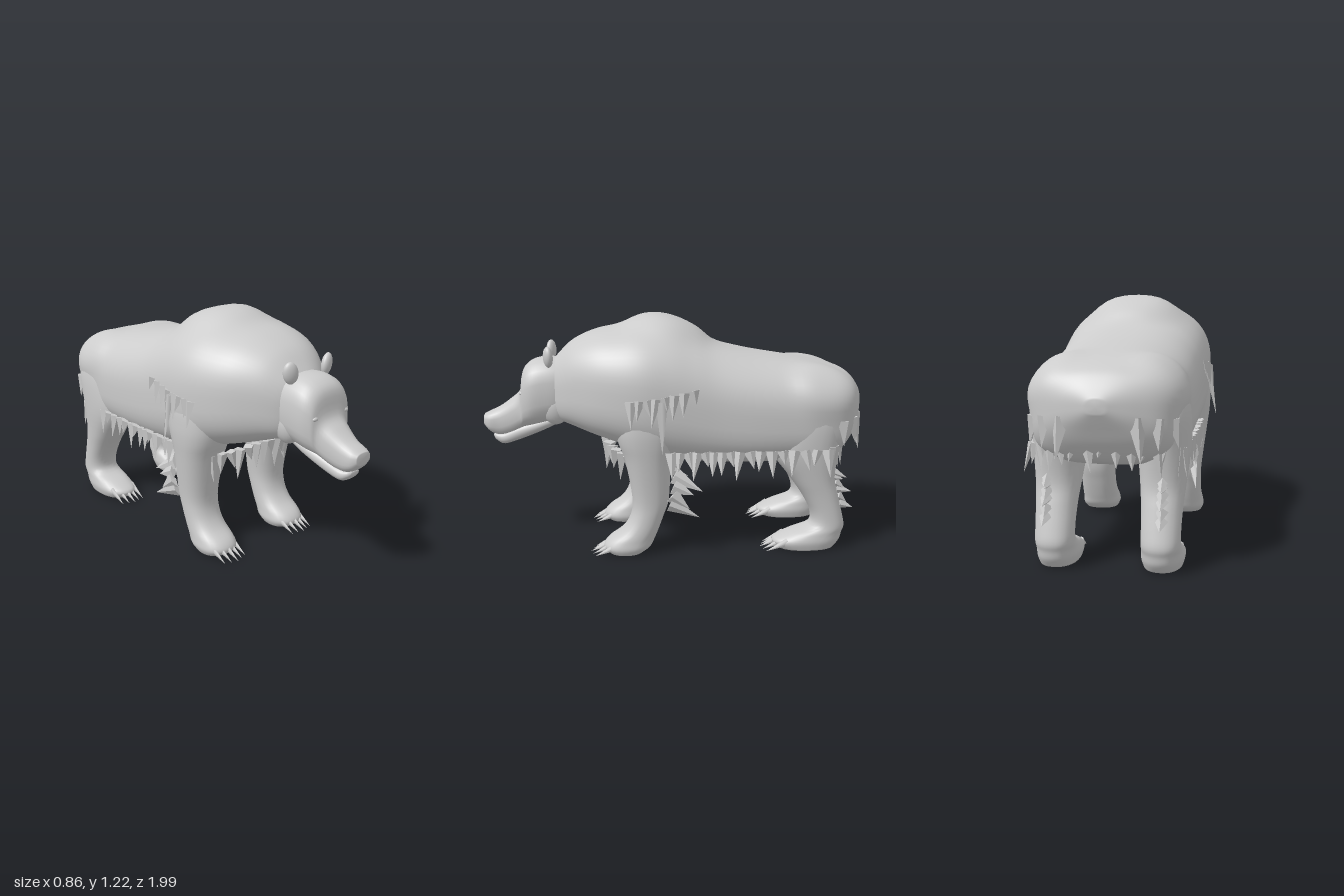
import * as THREE from 'three';
import { mergeGeometries } from 'three/addons/utils/BufferGeometryUtils.js';

const fur = new THREE.MeshStandardMaterial({ color: 0xcccccc });
fur.name = 'pale grey fur';
const V = (x, y, z) => new THREE.Vector3(x, y, z);

// Smooth closed skin through rows of [position, low, high, halfWidth].
// Upright rows run from the top down along y, otherwise rows run back to front along z.
// A higher power gives a boxier section; lowPower applies to its lower half.
function loft(rows, { upright = false, cx = 0, power = 2.3, lowPower = power, sides = 28, sub = 4 } = {}) {
  const a = new THREE.SplineCurve(rows.map(r => new THREE.Vector2(r[0], r[3])));
  const b = new THREE.SplineCurve(rows.map(r => new THREE.Vector2(r[1], r[2])));
  const n = (rows.length - 1) * sub, pos = [], idx = [];
  const put = (x, d, t) => upright ? pos.push(cx + x, t, d) : pos.push(cx + x, d, t);
  const round = (v, p) => Math.sign(v) * Math.abs(v) ** (2 / p);
  for (let i = 0; i <= n; i++) {
    const p = a.getPoint(i / n), q = b.getPoint(i / n);
    for (let j = 0; j < sides; j++) {
      const t = j / sides * Math.PI * 2, e = j * 2 > sides ? lowPower : power;
      put(p.y * round(Math.cos(t), e), (q.x + q.y) / 2 + (q.y - q.x) / 2 * round(Math.sin(t), e), p.x);
    }
  }
  for (let i = 0; i < n; i++) for (let j = 0; j < sides; j++) {
    const k = (j + 1) % sides, s = i * sides, e = s + sides;
    idx.push(s + j, s + k, e + k, s + j, e + k, e + j);
  }
  // end caps
  const first = rows[0], last = rows[rows.length - 1], c = (n + 1) * sides;
  put(0, (first[1] + first[2]) / 2, first[0]);
  put(0, (last[1] + last[2]) / 2, last[0]);
  for (let j = 0; j < sides; j++) {
    const k = (j + 1) % sides;
    idx.push(c, k, j, c + 1, n * sides + j, n * sides + k);
  }
  const g = new THREE.BufferGeometry();
  g.setAttribute('position', new THREE.Float32BufferAttribute(pos, 3));
  g.setIndex(idx);
  g.computeVertexNormals();
  return g;
}

// Raise soft lumps on a skin; each bump is [centre, radius, height]
function swell(g, bumps) {
  const p = g.attributes.position, nor = g.attributes.normal, v = V(0, 0, 0), d = V(0, 0, 0);
  for (let i = 0; i < p.count; i++) {
    v.fromBufferAttribute(p, i);
    d.fromBufferAttribute(nor, i);
    const rise = bumps.reduce((h, [c, r, top]) => h + top * Math.exp(-((v.distanceTo(c) / r) ** 4)), 0);
    v.addScaledVector(d, rise);
    p.setXYZ(i, v.x, v.y, v.z);
  }
  g.computeVertexNormals();
  return g;
}

function ball(x, y, z, rx, ry, rz) {
  return new THREE.SphereGeometry(1, 24, 16).scale(rx, ry, rz).translate(x, y, z);
}

// Pointed lock from its root to its tip; wide runs along the hem, thick across it
function spike(root, tip, along, wide, thick, sides = 4) {
  const up = tip.clone().sub(root), len = up.length();
  up.normalize();
  const x = along.clone().addScaledVector(up, -along.dot(up)).normalize();
  const m = new THREE.Matrix4().makeBasis(x, up, x.clone().cross(up));
  const g = new THREE.ConeGeometry(1, len, sides).translate(0, len / 2, 0).scale(wide, 1, thick);
  return g.applyMatrix4(m).translate(root.x, root.y, root.z);
}

// Row of uneven locks hanging from a curve
function fringe(points, count, dir, len, wide, thick = 0.02) {
  const curve = new THREE.CatmullRomCurve3(points), parts = [];
  for (let i = 0; i < count; i++) {
    const u = (i + 0.5) / count, root = curve.getPoint(u), along = curve.getTangent(u);
    const l = len * (0.85 + 0.3 * Math.sin(i * 2.4 + 1));
    const tip = root.clone().addScaledVector(dir, l).addScaledVector(along, 0.02 * Math.sin(i * 3.7));
    parts.push(spike(root, tip, along, wide, thick));
  }
  const g = mergeGeometries(parts).toNonIndexed();
  g.computeVertexNormals();
  return g;
}

export function createModel() {
  const model = new THREE.Group();
  model.name = 'bear';
  const add = (name, geometry) => {
    const mesh = new THREE.Mesh(geometry, fur);
    mesh.name = name;
    model.add(mesh);
  };

  // Trunk and neck, with the shoulder hump and hips raised on it
  const body = loft([
    [-0.99, 0.74, 0.8, 0.04], [-0.955, 0.67, 0.86, 0.16], [-0.905, 0.58, 0.915, 0.265],
    [-0.83, 0.5, 0.945, 0.325], [-0.7, 0.47, 0.975, 0.352], [-0.55, 0.46, 1.0, 0.364],
    [-0.38, 0.455, 1.03, 0.372], [-0.2, 0.46, 1.075, 0.374], [-0.08, 0.47, 1.12, 0.38],
    [0.05, 0.49, 1.165, 0.388], [0.18, 0.53, 1.175, 0.39], [0.3, 0.57, 1.16, 0.365],
    [0.42, 0.61, 1.135, 0.315], [0.53, 0.65, 1.085, 0.24], [0.61, 0.68, 1.01, 0.165],
    [0.66, 0.73, 0.95, 0.09],
  ], { power: 2.4, lowPower: 3.2, sides: 56, sub: 5 });
  add('body', swell(body, [
    [V(0, 1.16, 0.03), 0.21, 0.05],
    [V(0.27, 0.88, -0.74), 0.16, 0.03], [V(-0.27, 0.88, -0.74), 0.16, 0.03],
  ]));

  // Head
  add('head', loft([
    [0.5, 0.72, 0.99, 0.12], [0.6, 0.68, 0.995, 0.152], [0.68, 0.66, 0.998, 0.157],
    [0.745, 0.645, 0.98, 0.152], [0.788, 0.635, 0.935, 0.13], [0.808, 0.625, 0.83, 0.105],
    [0.86, 0.6, 0.78, 0.085], [0.92, 0.59, 0.738, 0.07], [0.97, 0.61, 0.715, 0.064],
    [1.0, 0.645, 0.7, 0.045],
  ], { power: 2.7 }));
  add('lowerJaw', loft([
    [0.58, 0.665, 0.72, 0.075], [0.7, 0.61, 0.69, 0.085], [0.82, 0.563, 0.65, 0.075],
    [0.9, 0.54, 0.61, 0.058], [0.94, 0.56, 0.605, 0.045], [0.955, 0.58, 0.597, 0.025],
  ]));
  add('nose', ball(0, 0.678, 0.965, 0.058, 0.034, 0.035));

  // Chest and rump hems
  add('chestFringe', fringe([V(-0.27, 0.52, 0.24), V(-0.15, 0.55, 0.33), V(0, 0.57, 0.36),
    V(0.15, 0.55, 0.33), V(0.27, 0.52, 0.24)], 13, V(0, -0.98, 0.08), 0.14, 0.034, 0.035));
  add('rumpFringe', fringe([V(-0.34, 0.57, -0.77), V(-0.23, 0.58, -0.84), V(0, 0.6, -0.88),
    V(0.23, 0.58, -0.84), V(0.34, 0.57, -0.77)], 15, V(0, -0.98, -0.1), 0.12, 0.036));

  for (const s of [1, -1]) {
    const side = s > 0 ? 'left' : 'right';
    const legX = s * 0.242 - 0.008;

    // Ears, eyes and cheeks
    add(side + 'Ear', ball(0, 0, 0, 0.038, 0.055, 0.024).rotateY(s * 0.35).rotateZ(-s * 0.2)
      .translate(s * 0.122, 1.015, 0.65));
    add(side + 'Eye', ball(s * 0.103, 0.828, 0.792, 0.018, 0.011, 0.012));
    add(side + 'Cheek', ball(s * 0.095, 0.755, 0.62, 0.06, 0.095, 0.075));

    // Legs with their paws
    add(side + 'FrontLeg', loft([
      [0.88, 0.03, 0.27, 0.1], [0.78, -0.02, 0.31, 0.135], [0.68, -0.015, 0.32, 0.142],
      [0.6, 0.01, 0.305, 0.138], [0.5, 0.035, 0.27, 0.125],
      [0.3, 0.045, 0.235, 0.1], [0.2, 0.075, 0.245, 0.095], [0.13, 0.1, 0.29, 0.096],
      [0.08, 0.12, 0.36, 0.1], [0.04, 0.14, 0.385, 0.103], [0.01, 0.18, 0.36, 0.09],
    ], { upright: true, cx: legX }));
    add(side + 'HindLeg', loft([
      [0.85, -0.8, -0.6, 0.09], [0.72, -0.86, -0.52, 0.118], [0.55, -0.835, -0.48, 0.12],
      [0.4, -0.82, -0.58, 0.105], [0.3, -0.84, -0.65, 0.095], [0.2, -0.865, -0.7, 0.09],
      [0.13, -0.88, -0.69, 0.09], [0.09, -0.87, -0.58, 0.095], [0.05, -0.86, -0.5, 0.1],
      [0.01, -0.83, -0.53, 0.09],
    ], { upright: true, cx: legX }));

    // Claws
    for (const [name, z] of [['FrontClaws', 0.34], ['HindClaws', -0.55]]) {
      const claws = [-2, -1, 0, 1, 2].map(i => {
        const x = legX + i * 0.034, back = Math.abs(i) * 0.012;
        return spike(V(x, 0.055, z - back), V(x, 0.005, z + 0.115 - back), V(1, 0, 0), 0.014, 0.022, 8);
      });
      add(side + name, mergeGeometries(claws));
    }

    // Ragged fur along the flank, shoulder, legs and rump
    add(side + 'BellyFringe', fringe([V(s * 0.35, 0.565, 0.06), V(s * 0.355, 0.565, -0.3),
      V(s * 0.345, 0.565, -0.78)], 17, V(s * 0.2 + 0.08, -0.97, 0), 0.125, 0.033));
    add(side + 'ShoulderFringe', fringe([V(s * 0.378, 0.83, 0.26), V(s * 0.385, 0.85, 0.1),
      V(s * 0.373, 0.89, -0.09)], 8, V(s * 0.18, -0.98, 0), 0.125, 0.03));
    add(side + 'ShoulderLock', spike(V(s * 0.385, 0.83, 0.09), V(s * 0.43, 0.58, 0.09), V(0, 0, 1), 0.03, 0.02));
    add(side + 'ElbowFringe', fringe([V(s * 0.3, 0.46, 0.02), V(s * 0.33, 0.36, 0.03),
      V(s * 0.31, 0.26, 0.05)], 4, V(s * 0.12, -0.5, -0.86), 0.15, 0.045, 0.018));
    add(side + 'HockFringe', fringe([V(s * 0.26, 0.44, -0.79), V(s * 0.26, 0.35, -0.82),
      V(s * 0.26, 0.23, -0.85)], 6, V(0, -0.4, -0.92), 0.085, 0.03, 0.03));
    add(side + 'RumpLocks', fringe([V(s * 0.12, 0.72, -0.94), V(s * 0.25, 0.71, -0.89),
      V(s * 0.335, 0.7, -0.8)], 3, V(s * 0.1, -0.98, -0.15), 0.18, 0.045, 0.035));
  }
  return model;
}
